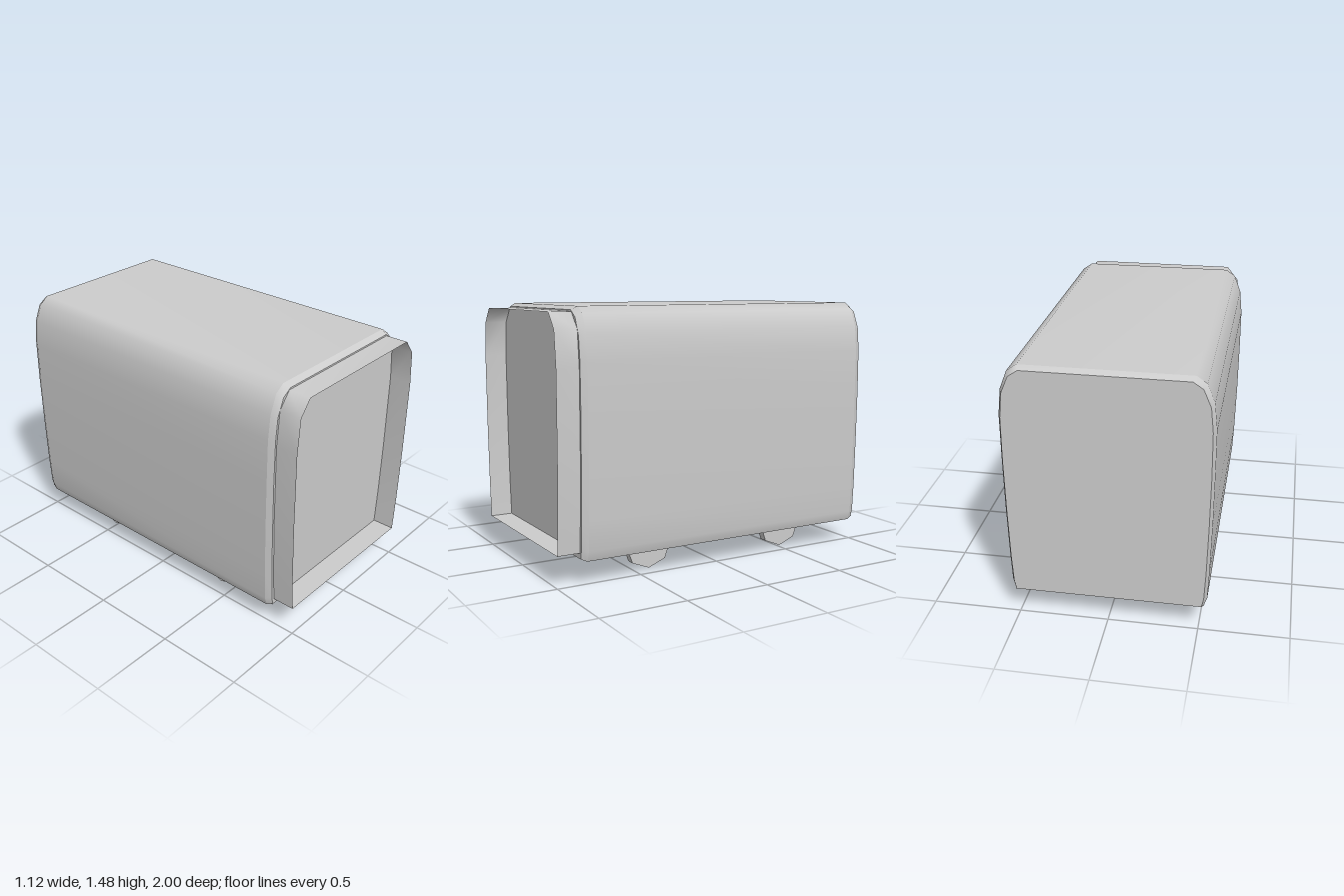
import * as THREE from 'three';

const shellGrey = new THREE.MeshStandardMaterial({ color: 0xcccccc, side: THREE.DoubleSide });
shellGrey.name = 'shell grey';

function add(group, name, geometry) {
  const mesh = new THREE.Mesh(geometry, shellGrey);
  mesh.name = name;
  group.add(mesh);
  return mesh;
}

// Mirrors a right-hand half outline (bottom to top) into a full arch
const arch = (half) => [...half, ...half.map(([x, y]) => [-x, y]).reverse()];

// Skins a strip between two outlines, from z0 back to z1
function loft(front, back, z0, z1) {
  const n = front.length, pos = [], index = [];
  front.forEach(([x, y]) => pos.push(x, y, z0));
  back.forEach(([x, y]) => pos.push(x, y, z1));
  for (let i = 0; i < n - 1; i++) index.push(i, n + i, i + 1, i + 1, n + i, n + i + 1);
  const g = new THREE.BufferGeometry();
  g.setAttribute('position', new THREE.Float32BufferAttribute(pos, 3));
  g.setIndex(index);
  g.computeVertexNormals();
  return g;
}

const toShape = (pts) => new THREE.Shape(pts.map(([x, y]) => new THREE.Vector2(x, y)));

export function createModel() {
  const model = new THREE.Group();
  model.name = 'casing';

  const outer = arch([[0.525, 0.135], [0.543, 0.19], [0.55, 0.36], [0.557, 0.65], [0.56, 0.95],
    [0.56, 1.2], [0.545, 1.345], [0.505, 1.447], [0.45, 1.485]]);
  const inset = arch([[0.515, 0.15], [0.526, 0.2], [0.534, 0.36], [0.541, 0.65], [0.545, 0.95],
    [0.543, 1.2], [0.53, 1.335], [0.49, 1.43], [0.437, 1.466]]);

  // Main shell with bevelled ends
  add(model, 'bodyShell', loft(outer, outer, 0.835, -0.965));
  add(model, 'frontBevel', loft(inset, outer, 0.87, 0.835));
  add(model, 'backBevel', loft(outer, inset, -0.965, -1));

  // End panels
  add(model, 'frontPanel', new THREE.ShapeGeometry(toShape(inset))).position.z = 0.87;
  const back = add(model, 'backPanel', new THREE.ShapeGeometry(toShape(inset)));
  back.rotation.y = Math.PI;
  back.position.z = -1;

  // Floor
  const floor = add(model, 'floor', new THREE.PlaneGeometry(1.04, 1.87));
  floor.rotation.x = Math.PI / 2;
  floor.position.set(0, 0.15, -0.065);

  // Open collar around the front panel
  const collar = arch([[0.507, 0.182], [0.52, 0.4], [0.53, 0.72], [0.533, 1.17], [0.515, 1.37], [0.445, 1.457]]);
  const sill = [collar[collar.length - 1], collar[0]];
  add(model, 'frontCollar', loft(collar, collar, 1, 0.87));
  add(model, 'collarSill', loft(sill, sill, 1, 0.87));

  // Runners and feet
  const footShape = toShape([[-0.14, 0.15], [-0.135, 0.13], [-0.105, 0.045], [0, 0.003],
    [0.105, 0.045], [0.135, 0.13], [0.14, 0.15]]);
  for (const side of [1, -1]) {
    add(model, 'runner', new THREE.BoxGeometry(0.1, 0.02, 1.24)).position.set(side * 0.41, 0.14, -0.06);
    for (const z of [0.4, -0.52]) {
      const g = new THREE.ExtrudeGeometry(footShape, { depth: 0.05, bevelEnabled: false });
      g.translate(0, 0, -0.025);
      g.rotateY(Math.PI / 2);
      add(model, 'foot', g).position.set(side * 0.387, 0, z);
    }
  }
  return model;
}
